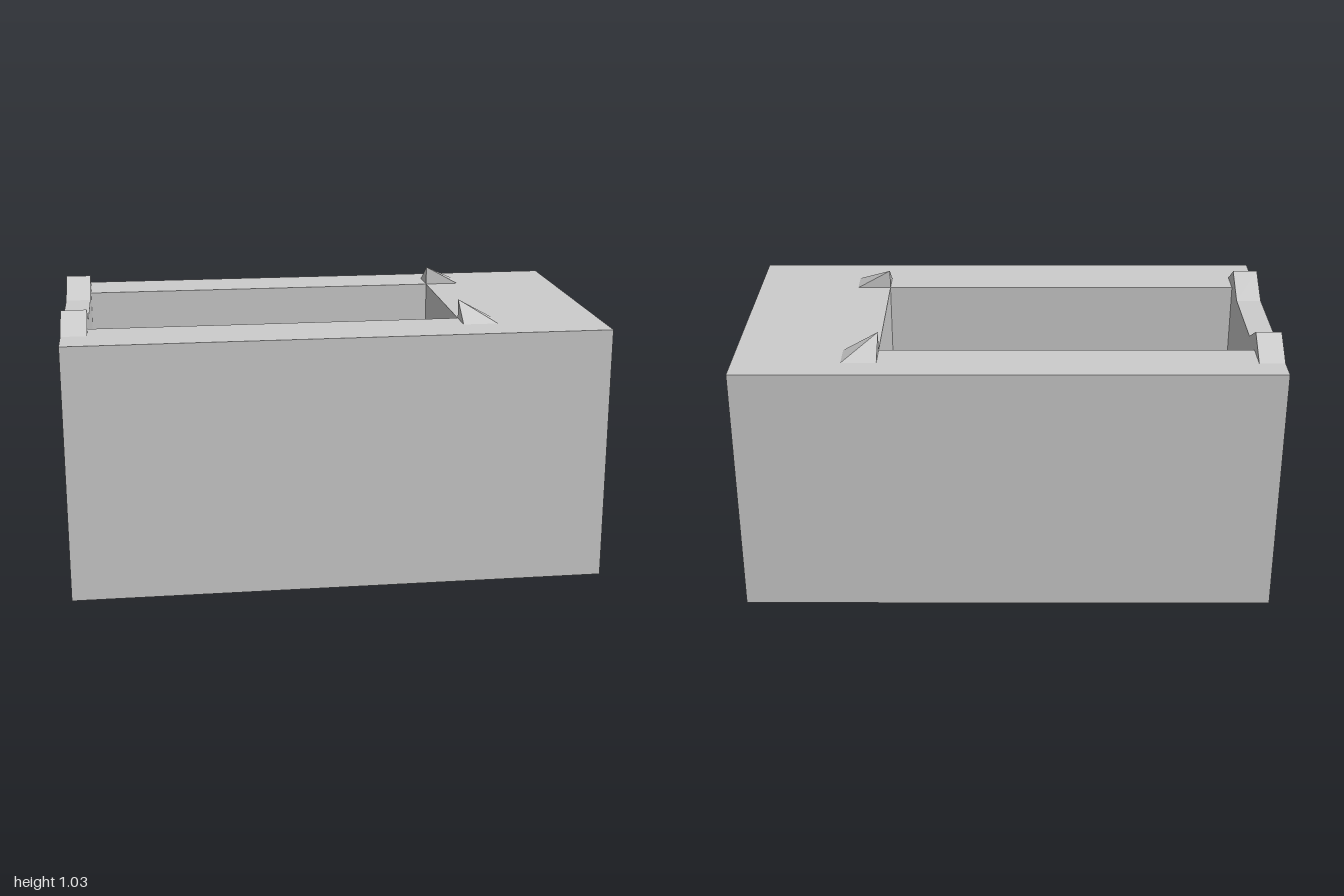
import * as THREE from 'three';

const W = 1, D = 0.545, H = 0.963, PEAK = 1.035;  // half width, half depth, wall top, peak height
const FLOOR = 0.03, RECESS = 0.02;
const X0 = -0.905, X1 = 0.475, Z0 = -0.33, Z1 = 0.29;  // court opening

const material = new THREE.MeshStandardMaterial({ color: 0xcccccc, flatShading: true, side: THREE.DoubleSide });

function add(group, name, geometry) {
  const mesh = new THREE.Mesh(geometry, material);
  mesh.name = name;
  group.add(mesh);
  return mesh;
}

function outline(Type, points) {
  return new Type(points.map(([x, y]) => new THREE.Vector2(x, y)));
}

function rect(Type, x0, y0, x1, y1) {
  return outline(Type, [[x0, y0], [x1, y0], [x1, y1], [x0, y1]]);
}

// Opening with a shallow arched head
function archedHole(x0, x1, bottom, shoulder, top) {
  const p = new THREE.Path();
  p.moveTo(x0, bottom);
  p.lineTo(x1, bottom);
  p.lineTo(x1, shoulder);
  p.quadraticCurveTo((x0 + x1) / 2, 2 * top - shoulder, x0, shoulder);
  p.closePath();
  return p;
}

// Extrusion whose profile lies in the z/y plane (profile x = -z), running along +x
function alongX(shape, x, depth) {
  return new THREE.ExtrudeGeometry(shape, { depth, bevelEnabled: false, curveSegments: 6 })
    .rotateY(Math.PI / 2).translate(x, 0, 0);
}

// Quarter peak: upright inner faces at the court corner, sloping away outwards
function cornerPeak(x, z, dx, dz) {
  const pts = [
    [x, PEAK, z], [x + dx, H, z], [x + dx, H, z + dz], [x, H, z + dz], [x, H, z],
  ];
  let faces = [[0, 2, 1], [0, 3, 2], [0, 1, 4], [0, 4, 3]];
  if (dx * dz < 0) faces = faces.map(([a, b, c]) => [a, c, b]);
  const g = new THREE.BufferGeometry();
  g.setAttribute('position', new THREE.Float32BufferAttribute(pts.flat(), 3));
  g.setIndex(faces.flat());
  const flat = g.toNonIndexed();
  flat.computeVertexNormals();
  return flat;
}

export function createModel() {
  const model = new THREE.Group();
  model.name = 'courtBuilding';

  // Base slab, which is also the floor of the court
  add(model, 'baseSlab', new THREE.BoxGeometry(2 * W - RECESS, FLOOR, 2 * D)
    .translate(-RECESS / 2, FLOOR / 2, 0));

  // Thick walls around the open court
  const plan = rect(THREE.Shape, -W, -D, W - RECESS, D);
  plan.holes.push(rect(THREE.Path, X0, -Z1, X1, -Z0));
  add(model, 'walls', new THREE.ExtrudeGeometry(plan, { depth: H - FLOOR, bevelEnabled: false })
    .rotateX(-Math.PI / 2).translate(0, FLOOR, 0));

  // End wall skin with recessed door and window
  const skin = rect(THREE.Shape, -D, 0, D, H);
  skin.holes.push(archedHole(-0.045, 0.093, 0.027, 0.256, 0.27));
  skin.holes.push(archedHole(0.14, 0.228, 0.085, 0.191, 0.203));
  add(model, 'doorWall', alongX(skin, W - RECESS, RECESS));

  // Ridges over the narrow end wall
  for (const [name, outer, peak, inner] of [
    ['frontRidge', 0.40, 0.288, 0.15], ['backRidge', -0.45, -0.328, -0.20],
  ]) {
    const gable = outline(THREE.Shape, [[-outer, H], [-peak, PEAK], [-inner, H]]);
    add(model, name, alongX(gable, -W, X0 + W));
  }

  // Small peaks at the two court corners beside the wide end
  add(model, 'frontCornerPeak', cornerPeak(X1, Z1, 0.13, 0.105));
  add(model, 'backCornerPeak', cornerPeak(X1, Z0, 0.13, -0.115));

  return model;
}
